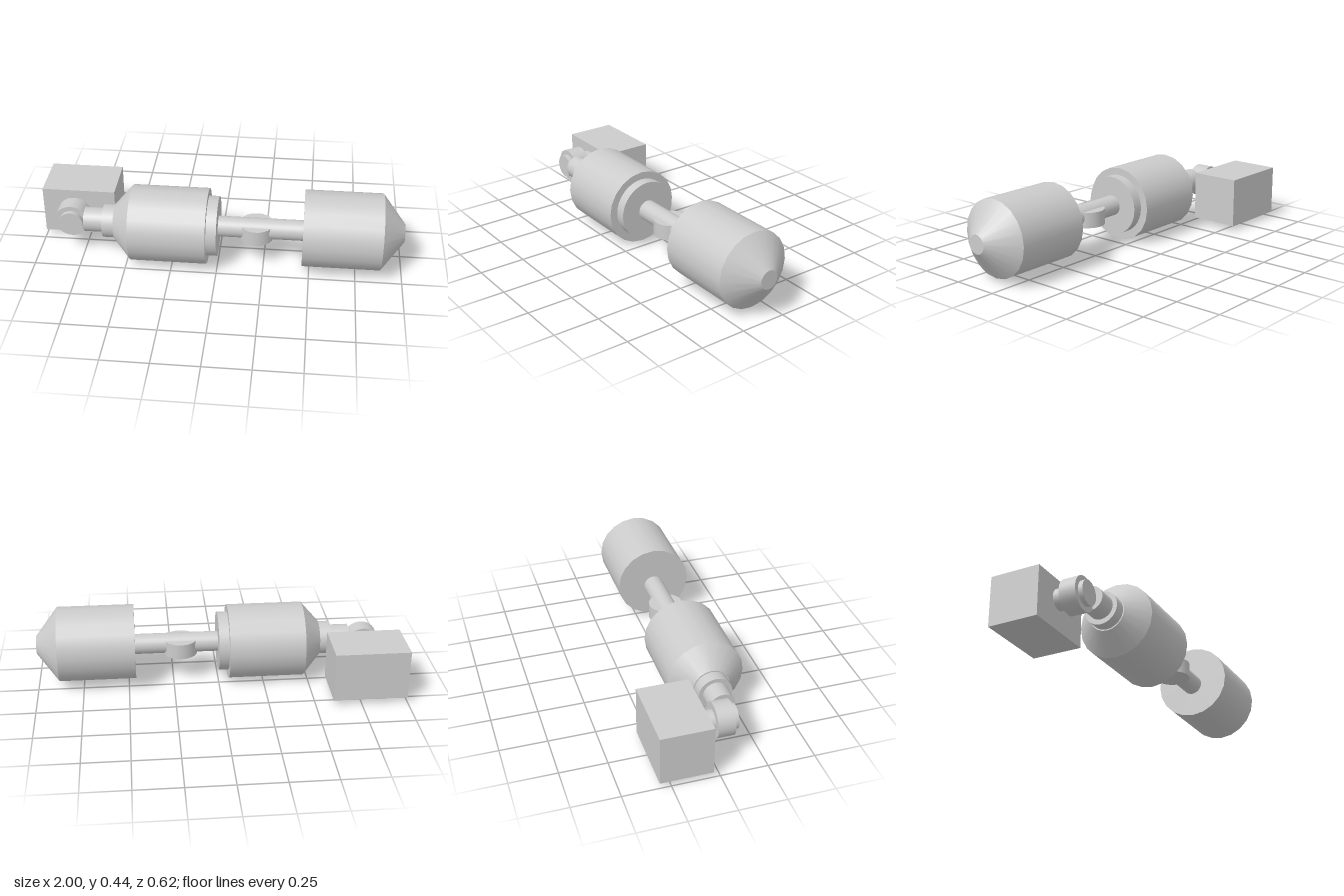
import * as THREE from 'three';

export function createModel() {
  const model = new THREE.Group();
  const material = new THREE.MeshStandardMaterial({ color: 0xcccccc });

  const add = (name, geometry, x, y, z) => {
    const mesh = new THREE.Mesh(geometry, material);
    mesh.name = name;
    mesh.position.set(x, y, z);
    model.add(mesh);
    return mesh;
  };

  // Cylinder or cone along x, from x0 (radius r0) to x1 (radius r1)
  const alongX = (name, x0, x1, r0, r1, y, sides) => {
    const g = new THREE.CylinderGeometry(r1, r0, x1 - x0, sides).rotateZ(-Math.PI / 2);
    return add(name, g, (x0 + x1) / 2, y, 0.1);
  };

  // Cylinder along z, from z0 to z1
  const alongZ = (name, z0, z1, r) => {
    const g = new THREE.CylinderGeometry(r, r, z1 - z0, 32).rotateX(Math.PI / 2);
    return add(name, g, -0.811, 0.2, (z0 + z1) / 2);
  };

  // Mounting block and swivel joint
  add('mountBlock', new THREE.BoxGeometry(0.405, 0.273, 0.275), -0.7975, 0.1695, -0.1715);
  alongZ('jointShaft', -0.04, 0.03, 0.056);
  alongZ('jointDisc', 0.02, 0.112, 0.093);
  alongZ('jointCap', 0.11, 0.137, 0.066);

  // Rear drum with neck, collar, shoulder and flange
  alongX('neck', -0.735, -0.62, 0.067, 0.067, 0.213, 32);
  alongX('collar', -0.63, -0.56, 0.091, 0.091, 0.21, 32);
  alongX('rearShoulder', -0.567, -0.472, 0.098, 0.207, 0.21, 20);
  alongX('rearDrum', -0.472, -0.056, 0.207, 0.207, 0.21, 20);
  alongX('flange', -0.06, 0, 0.163, 0.163, 0.213, 32);

  // Connecting rod with a flat round grip
  alongX('rod', -0.01, 0.47, 0.056, 0.056, 0.213, 32);
  add('gripDisc', new THREE.CylinderGeometry(0.094, 0.094, 0.086, 32), 0.207, 0.2, 0.095);

  // Front drum with tapered nose
  alongX('frontDrum', 0.46, 0.88, 0.2075, 0.2075, 0.232, 20);
  alongX('nose', 0.88, 1, 0.2075, 0.051, 0.232, 20);

  return model;
}
